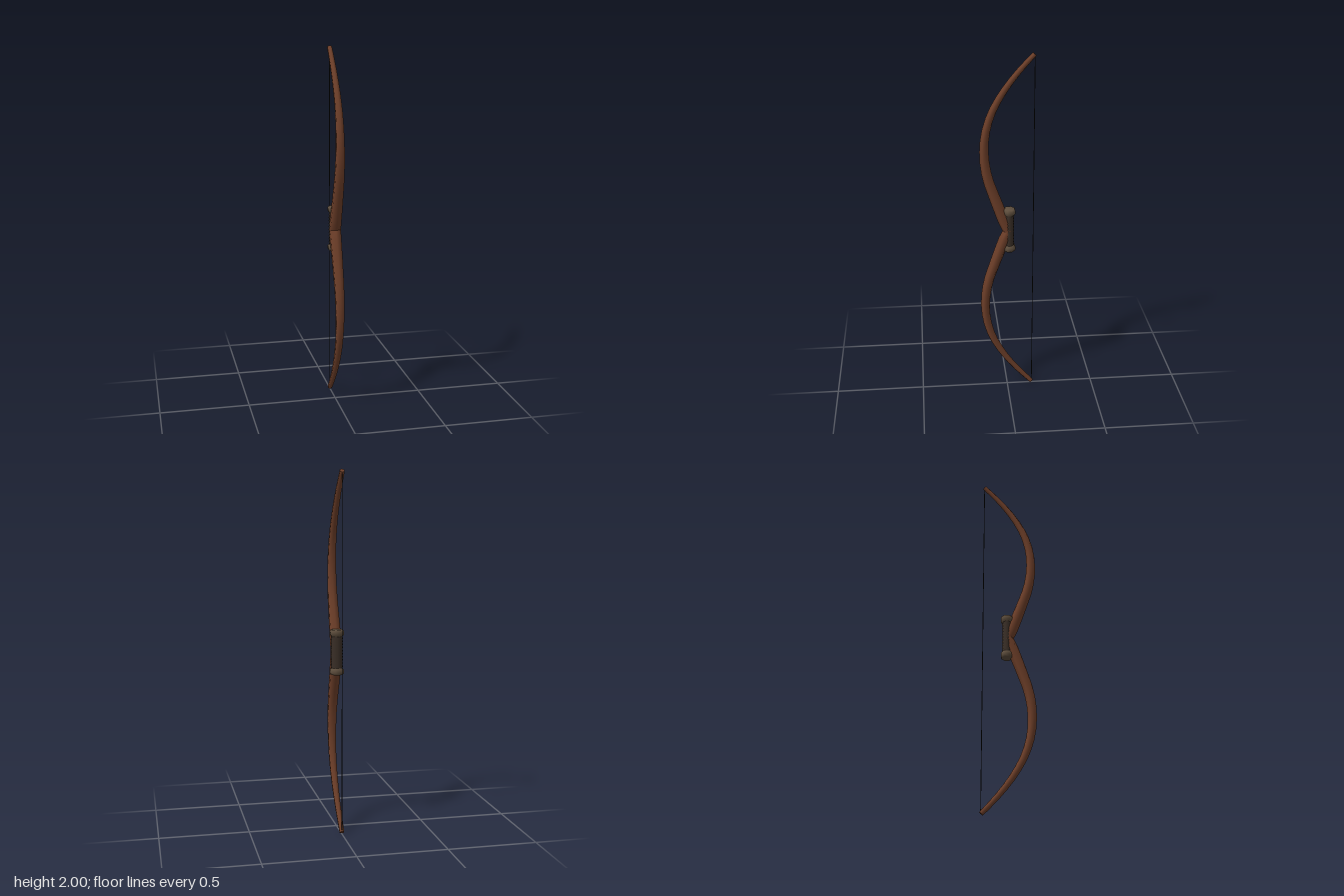
import * as THREE from 'three';

const wood = new THREE.MeshStandardMaterial({ name: 'wood', color: 0x6e3f29 });
const leather = new THREE.MeshStandardMaterial({ name: 'dark leather', color: 0x3a2f27 });
const collar = new THREE.MeshStandardMaterial({ name: 'worn collar', color: 0x5e4e3d });
const cord = new THREE.MeshStandardMaterial({ name: 'bowstring cord', color: 0x1c1a18 });

// Hexagonal limb swept along a curve in the y-z plane, from the middle to the tip
function limbGeometry() {
  const path = new THREE.CatmullRomCurve3([
    [0, -0.004], [0.1, 0.034], [0.2, 0.07], [0.32, 0.109], [0.44, 0.125], [0.56, 0.118],
    [0.68, 0.083], [0.8, 0.016], [0.9, -0.06], [0.991, -0.143],
  ].map(([y, z]) => new THREE.Vector3(0, y, z)));
  const rings = 18, sides = 6, pos = [], index = [];
  for (let i = 0; i <= rings; i++) {
    const t = i / rings, p = path.getPointAt(t);
    const tan = i === 0 ? new THREE.Vector3(0, 1, 0) : path.getTangentAt(t);
    const r = 0.035 - 0.021 * t;
    const rz = i === 0 ? 0.031 : r * 0.97;
    for (let j = 0; j < sides; j++) {
      const a = (j / sides) * Math.PI * 2;
      const d = Math.cos(a) * rz;
      pos.push(Math.sin(a) * r, p.y - tan.z * d, p.z + tan.y * d);
    }
  }
  for (let i = 0; i < rings; i++) {
    for (let j = 0; j < sides; j++) {
      const a = i * sides + j, b = i * sides + (j + 1) % sides;
      index.push(a, b, b + sides, a, b + sides, a + sides);
    }
  }
  // Flat tip with its own vertices
  const base = pos.length / 3;
  pos.push(...pos.slice(-sides * 3));
  for (let j = 1; j < sides - 1; j++) index.push(base, base + j, base + j + 1);
  const g = new THREE.BufferGeometry();
  g.setAttribute('position', new THREE.Float32BufferAttribute(pos, 3));
  g.setIndex(index);
  g.computeVertexNormals();
  return g;
}

export function createModel() {
  const bow = new THREE.Group();
  bow.name = 'bow';
  const add = (name, geometry, material, y, z = 0, parent = bow) => {
    const m = new THREE.Mesh(geometry, material);
    m.name = name;
    m.position.set(0, y, z);
    parent.add(m);
    return m;
  };

  // Limbs: the lower one is the upper one turned half round
  const limb = limbGeometry();
  add('upperLimb', limb, wood, 1);
  add('lowerLimb', limb, wood, 1).rotation.z = Math.PI;

  // Grip with ridged leather wrapping
  const grip = new THREE.Group();
  grip.name = 'grip';
  grip.position.set(0, 1.005, -0.011);
  bow.add(grip);
  const profile = [], wraps = 12, h = 0.21;
  for (let i = 0; i <= wraps * 2; i++) {
    profile.push(new THREE.Vector2(i % 2 ? 0.0345 : 0.0315, -h / 2 + (h * i) / (wraps * 2)));
  }
  add('leatherWrap', new THREE.LatheGeometry(profile, 10), leather, 0, 0, grip).scale.z = 0.8;

  // Flared collars closing both ends of the grip
  const collarProfile = [[0.031, -0.019], [0.04, -0.008], [0.041, 0.008], [0.035, 0.019], [0, 0.021]]
    .map(([r, y]) => new THREE.Vector2(r, y));
  const collarGeo = new THREE.LatheGeometry(collarProfile, 8, Math.PI / 8);
  for (const s of [1, -1]) {
    const c = add(s > 0 ? 'upperCollar' : 'lowerCollar', collarGeo, collar, s * 0.107, 0, grip);
    c.scale.z = 0.88;
    if (s < 0) c.rotation.z = Math.PI;
  }

  // String between the tips
  add('bowstring', new THREE.CylinderGeometry(0.002, 0.002, 1.97, 6), cord, 1, -0.145);
  return bow;
}
